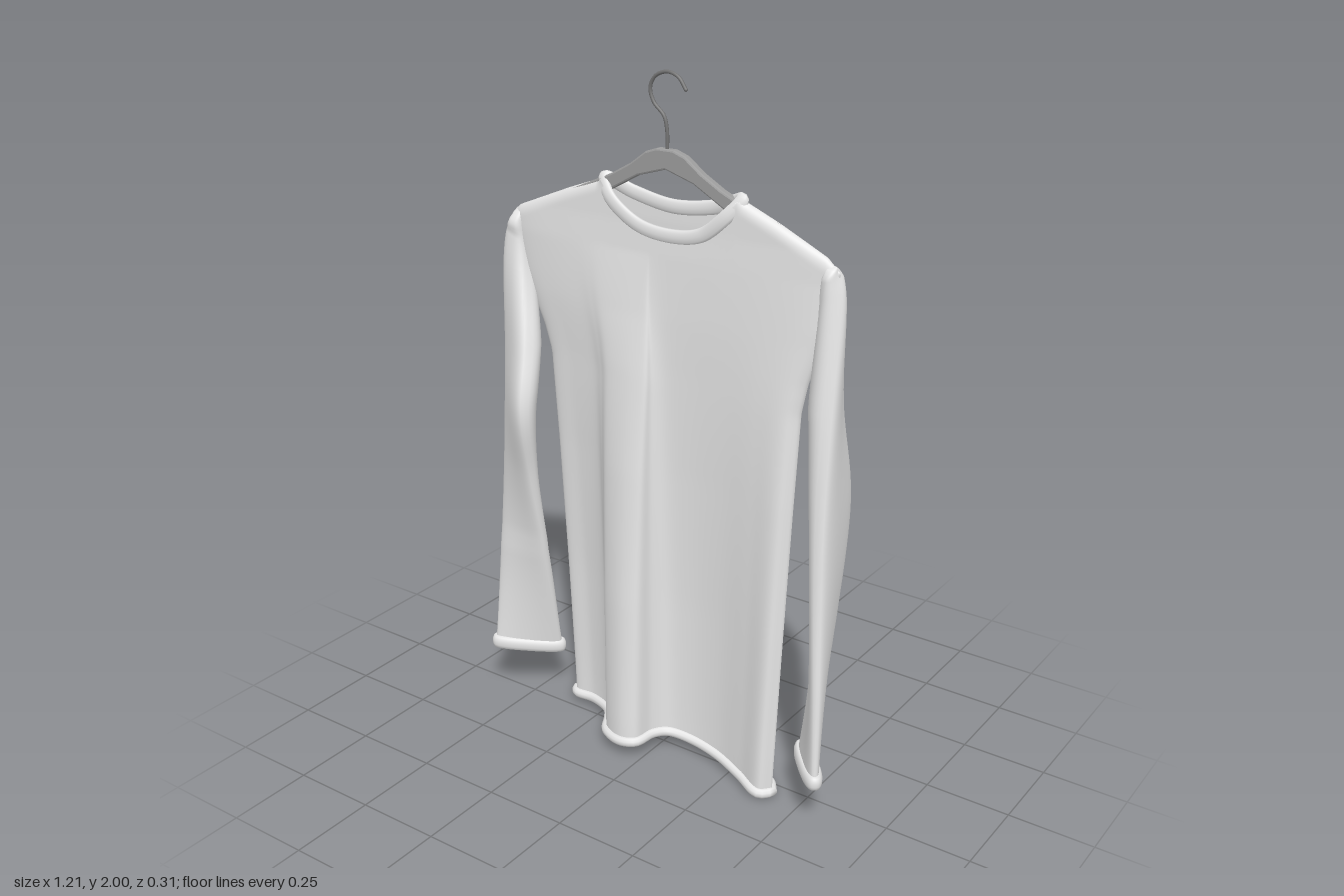
import * as THREE from 'three';
import { mergeVertices } from 'three/addons/utils/BufferGeometryUtils.js';

const V = (p) => new THREE.Vector3(...p);
const lerp = THREE.MathUtils.lerp;
const clamp = THREE.MathUtils.clamp;
const ZC = 0.013; // middle plane of the hanger

// piecewise linear lookup in [[key, value], ...] with rising keys
function interp(table, k) {
  if (k <= table[0][0]) return table[0][1];
  for (let i = 1; i < table.length; i++) {
    const [a, va] = table[i - 1], [b, vb] = table[i];
    if (k <= b) return lerp(va, vb, (k - a) / (b - a));
  }
  return table[table.length - 1][1];
}

// triangle indices for a grid of (rows + 1) x (cols + 1) points
function gridIndex(rows, cols, start, flip, out) {
  for (let r = 0; r < rows; r++) for (let c = 0; c < cols; c++) {
    const a = start + r * (cols + 1) + c, b = a + 1, d = a + cols + 1, e = d + 1;
    if (flip) out.push(a, e, b, a, d, e);
    else out.push(a, b, e, a, e, d);
  }
}

function surface(pos, index) {
  let g = new THREE.BufferGeometry();
  g.setAttribute('position', new THREE.Float32BufferAttribute(pos, 3));
  g.setIndex(index);
  g = mergeVertices(g, 1e-4);
  g.computeVertexNormals();
  return g;
}

const loopTube = (points, radius) => new THREE.TubeGeometry(
  new THREE.CatmullRomCurve3(points, true), 160, radius, 10, true);

export function createModel() {
  const group = new THREE.Group();
  const cloth = new THREE.MeshStandardMaterial({ color: 0xe6e6e6, side: THREE.DoubleSide });
  cloth.name = 'light grey cloth';
  const plastic = new THREE.MeshStandardMaterial({ color: 0x9c9c9c });
  plastic.name = 'grey hanger';
  const metal = new THREE.MeshStandardMaterial({ color: 0x727272 });
  metal.name = 'dark wire';

  const add = (name, geometry, material) => {
    const m = new THREE.Mesh(geometry, material);
    m.name = name;
    group.add(m);
  };

  // ---- shirt body: two draped panels from the shoulder line to a wavy hem
  const XL = -0.368, XR = 0.413;
  const shoulders = [[-0.51, 1.55], [-0.47, 1.585], [-0.3, 1.655], [-0.18, 1.7], [0.25, 1.7], [0.36, 1.655], [0.5, 1.59], [0.545, 1.55]];
  // side seams, running out into each sleeve above the armpit
  const leftEdge = [[0, XL], [0.5, -0.382], [1.17, -0.395], [1.25, -0.415], [1.4, -0.475], [1.56, -0.51]];
  const rightEdge = [[0, XR], [0.5, 0.43], [1.17, 0.45], [1.25, 0.465], [1.4, 0.51], [1.56, 0.54]];
  const panels = [
    { // front
      side: 1,
      hem: [[XL, -0.05], [-0.35, -0.03], [-0.28, -0.025], [-0.2, 0.01], [-0.165, 0.055], [-0.13, 0.11], [-0.06, 0.14],
        [-0.015, 0.125], [0, 0.06], [0.03, 0.02], [0.1, 0.005], [0.2, 0.015], [0.3, 0.05], [0.385, 0.085], [XR, 0.055]],
      hemY: [[XL, 0.033], [0, 0.062], [XR, 0.019]],
      neck: [[-0.18, 1.7], [-0.15, 1.655], [-0.06, 1.595], [0.05, 1.58], [0.14, 1.597], [0.215, 1.655], [0.25, 1.7]],
    },
    { // back
      side: -1,
      hem: [[XL, -0.05], [-0.34, -0.065], [-0.28, -0.068], [-0.2, -0.025], [-0.1, 0.0], [-0.04, -0.03], [0.02, -0.048],
        [0.1, -0.035], [0.2, -0.012], [0.3, -0.005], [0.38, 0.015], [XR, 0.055]],
      hemY: [[XL, 0.033], [0, 0.028], [XR, 0.019]],
      neck: [[-0.18, 1.7], [-0.1, 1.672], [0.03, 1.652], [0.17, 1.672], [0.25, 1.7]],
    },
  ];
  const pos = [], index = [], hemLoop = [];
  const ROWS = 70, COLS = 110;
  for (const p of panels) {
    const curve = new THREE.CatmullRomCurve3(p.hem.map(([x, z]) => V([x, 0, z])));
    const start = pos.length / 3;
    const hemPoints = [];
    for (let r = 0; r <= ROWS; r++) for (let c = 0; c <= COLS; c++) {
      const h = curve.getPoint(c / COLS);
      const u = clamp((h.x - XL) / (XR - XL), 0, 1);
      const topX = lerp(-0.505, 0.54, u);
      const inNeck = topX > -0.18 && topX < 0.25;
      const top = interp(inNeck ? p.neck : shoulders, topX);
      const y = lerp(interp(p.hemY, h.x), top, 1 - (1 - r / ROWS) ** 2);
      const fold = interp([[0.1, 1], [0.5, 0.86], [0.9, 0.6], [1.2, 0.32], [1.35, 0.14], [1.52, 0]], y); // folds deepen downward
      // rounded shoulder ridge and side seams
      const ridge = inNeck ? 1 : Math.sqrt(1 - (1 - Math.min((top - y) / 0.035, 1)) ** 2);
      const round = Math.sqrt(Math.max(0, 1 - (2 * u - 1) ** 8));
      const flatZ = ZC + p.side * round * ridge * (0.022 + 0.022 * Math.sin(Math.PI * clamp(y / 1.6, 0, 1)));
      const x = lerp(interp(leftEdge, y), interp(rightEdge, y), u);
      const z = lerp(flatZ, h.z, fold);
      pos.push(x, y, z);
      if (r === 0 && c % 2 === 0) hemPoints.push(V([x, y, z]));
    }
    gridIndex(ROWS, COLS, start, p.side < 0, index);
    if (p.side > 0) hemLoop.push(...hemPoints);
    else hemLoop.push(...hemPoints.reverse().slice(1, -1));
  }
  add('shirtBody', surface(pos, index), cloth);
  add('hem', loopTube(hemLoop, 0.015), cloth);

  // ---- collar: a flat band, made as a round tube and thinned in depth
  const THIN = 0.4;
  const front = panels[0].neck, back = panels[1].neck.slice(1, -1).reverse();
  const collar = loopTube([
    ...front.map(([x, y], i) => V([x, y - 0.002, (i % 6 ? 0.034 : ZC) / THIN])),
    ...back.map(([x, y]) => V([x, y - 0.006, -0.008 / THIN])),
  ], 0.02);
  collar.scale(1, 1, THIN);
  add('collar', collar, cloth);

  // ---- sleeves: flattened tubes lofted between an outer and an inner edge, fuller towards the body
  const squarish = (v) => Math.sign(v) * Math.abs(v) ** 0.75;
  const outerThick = [[0, 0.026], [0.3, 0.03], [0.6, 0.028], [1, 0.019]];
  const bodyThick = [[0, 0.026], [0.17, 0.038], [0.33, 0.058], [0.45, 0.055], [0.67, 0.034], [1, 0.019]];
  function sleeve(name, outer, inner) {
    const A = new THREE.CatmullRomCurve3(outer.map(V)), B = new THREE.CatmullRomCurve3(inner.map(V));
    const rows = 48, cols = 32, sp = [], si = [], cuff = [];
    for (let r = 0; r <= rows; r++) {
      const k = r / rows, a = A.getPoint(k), b = B.getPoint(k);
      const mid = a.clone().add(b).multiplyScalar(0.5), half = a.clone().sub(b).multiplyScalar(0.5);
      const n = new THREE.Vector3(-half.z, 0, half.x).normalize();
      if (n.x * mid.x > 0) n.negate(); // point at the body
      const swap = n.x * -half.z < 0 ? -1 : 1; // keeps the ring turning one way
      const cap = Math.sqrt(Math.min(1, k / 0.06));
      for (let c = 0; c <= cols; c++) {
        const t = swap * (c % cols) / cols * Math.PI * 2, s = squarish(Math.sin(t));
        const thick = cap * interp(s > 0 ? bodyThick : outerThick, k);
        const q = mid.clone().addScaledVector(half, squarish(Math.cos(t))).addScaledVector(n, s * thick);
        sp.push(q.x, q.y, q.z);
        if (r === rows && c < cols) cuff.push(q);
      }
    }
    gridIndex(rows, cols, 0, false, si);
    add(name, surface(sp, si), cloth);
    // turned cuff, taller than it is thick
    const TALL = 2;
    const rim = loopTube(cuff.map((q) => V([q.x, (q.y + 0.008) / TALL, q.z])), 0.011);
    rim.scale(1, TALL, 1);
    add(name + 'Cuff', rim, cloth);
  }
  sleeve('rightSleeve',
    [[-0.49, 1.575, ZC], [-0.522, 1.5, 0.016], [-0.54, 1.2, 0.005], [-0.552, 1.0, 0.0], [-0.562, 0.8, 0.015], [-0.578, 0.5, 0.04], [-0.594, 0.178, 0.068]],
    [[-0.465, 1.58, ZC], [-0.455, 1.47, 0.02], [-0.398, 1.2, 0.1], [-0.383, 1.02, 0.145], [-0.396, 0.8, 0.098], [-0.404, 0.5, 0.025], [-0.421, 0.165, -0.048]]);
  sleeve('leftSleeve',
    [[0.53, 1.57, ZC], [0.543, 1.5, 0.024], [0.55, 1.2, 0.065], [0.555, 0.9, 0.092], [0.568, 0.6, 0.108], [0.58, 0.4, 0.118], [0.59, 0.15, 0.127]],
    [[0.5, 1.58, ZC], [0.495, 1.47, -0.014], [0.48, 1.2, -0.088], [0.492, 0.9, -0.155], [0.487, 0.6, -0.12], [0.475, 0.4, -0.084], [0.458, 0.138, -0.026]]);

  // ---- hanger: arched bar, mirrored about its own middle
  const over = [[0.025, 1.795], [0.06, 1.783], [0.11, 1.746], [0.17, 1.712], [0.26, 1.672], [0.42, 1.605], [0.47, 1.565]];
  const under = [[0.46, 1.545], [0.4, 1.575], [0.18, 1.675], [0.09, 1.725], [0, 1.752]];
  const rightHalf = [...over, ...under];
  const outline = [...rightHalf, ...rightHalf.slice(0, -1).reverse().map(([x, y]) => [-x, y])];
  const bar = new THREE.ExtrudeGeometry(new THREE.Shape(outline.map(([x, y]) => new THREE.Vector2(x + 0.02, y))), {
    depth: 0.014, bevelEnabled: true, bevelThickness: 0.006, bevelSize: 0.005, bevelSegments: 2,
  });
  bar.translate(0, 0, ZC - 0.007);
  add('hangerBar', bar, plastic);

  // ---- wire hook
  const hook = [[0.02, 1.79], [0.019, 1.85], [0.01, 1.883], [-0.022, 1.915], [-0.033, 1.95], [-0.018, 1.98],
    [0.02, 1.995], [0.055, 1.984], [0.077, 1.955]];
  const hookCurve = new THREE.CatmullRomCurve3(hook.map(([x, y]) => V([x, y, ZC])));
  add('hook', new THREE.TubeGeometry(hookCurve, 60, 0.005, 8, false), metal);
  const tip = new THREE.SphereGeometry(0.005, 8, 6);
  tip.translate(0.077, 1.955, ZC);
  add('hookTip', tip, metal);

  return group;
}
